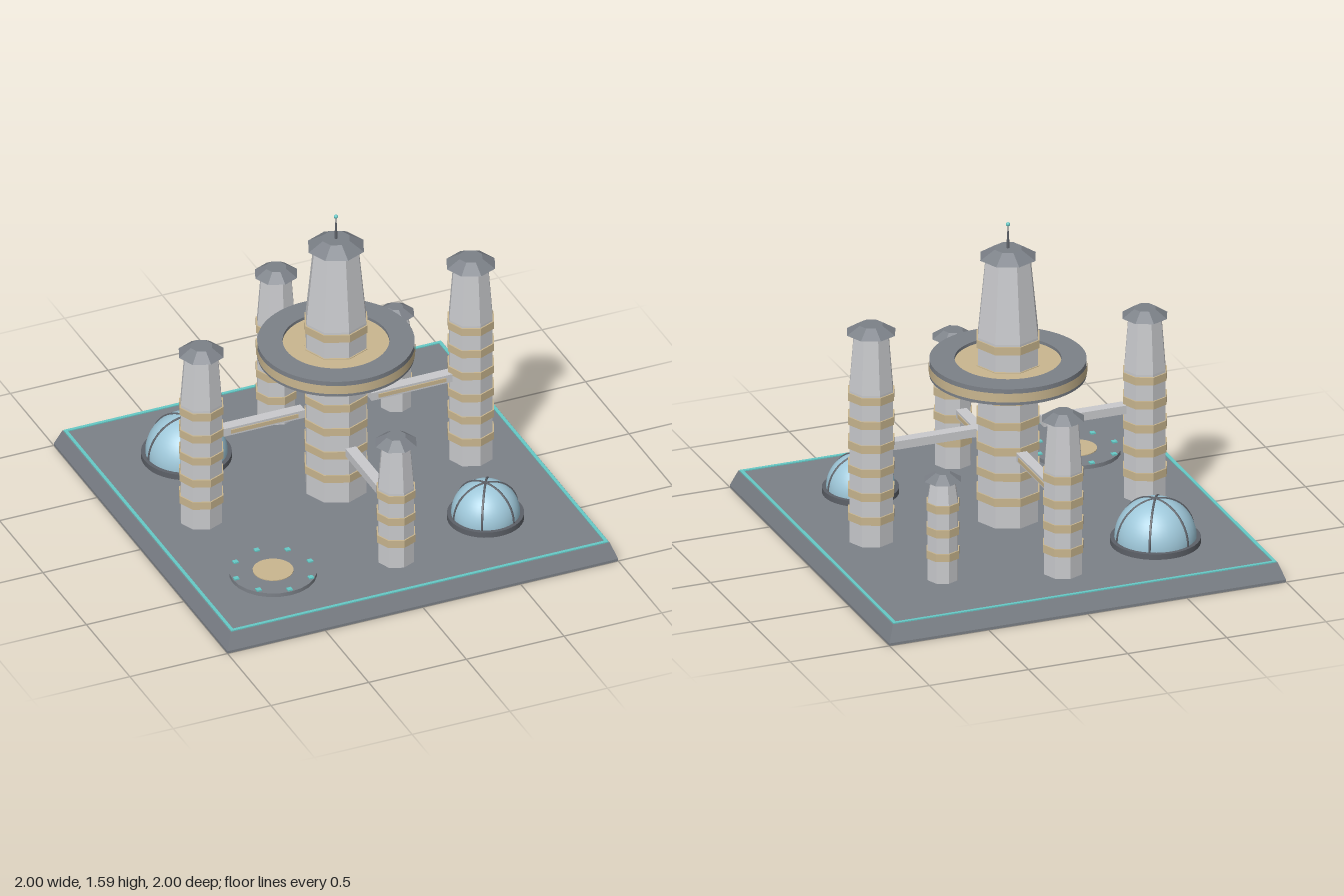
import * as THREE from 'three';

const paint = (name, color, opts = {}) => new THREE.MeshStandardMaterial({ name, color, ...opts });

export function createModel() {
  const city = new THREE.Group();
  city.name = 'domedCity';

  const stone = paint('slateGrey', 0x7c8188);
  const trim = paint('darkGrey', 0x5d6168);
  const wall = paint('paleGrey', 0xc9cacd);
  const tan = paint('sandTan', 0xc9b68f);
  const glass = paint('domeBlue', 0x9fc8da);
  const glow = paint('teal', 0x66c9c6);

  const add = (parent, name, geo, mat, x = 0, y = 0, z = 0) => {
    const mesh = new THREE.Mesh(geo, mat);
    mesh.name = name;
    mesh.position.set(x, y, z);
    parent.add(mesh);
    return mesh;
  };
  // flat-sided prism or frustum standing between two heights
  const prism = (parent, name, mat, rBottom, rTop, y0, y1, sides = 8) => {
    let geo = new THREE.CylinderGeometry(rTop, rBottom, y1 - y0, sides);
    if (sides <= 8) {
      geo = geo.toNonIndexed();
      geo.computeVertexNormals();
    }
    return add(parent, name, geo, mat, 0, (y0 + y1) / 2, 0);
  };
  const groupAt = (name, x, z) => {
    const g = new THREE.Group();
    g.name = name;
    g.position.set(x, 0, z);
    city.add(g);
    return g;
  };

  // base slab with sloping sides
  const GROUND = 0.092;
  const R2 = Math.SQRT2;
  add(city, 'baseFoot', new THREE.BoxGeometry(2, 0.012, 2), stone, 0, 0.006, 0);
  prism(city, 'baseSlab', stone, R2, 0.97 * R2, 0.012, GROUND, 4).rotation.y = Math.PI / 4;

  // glowing line around the edge of the slab
  for (const s of [-1, 1]) {
    add(city, 'edgeLight', new THREE.BoxGeometry(1.932, 0.006, 0.016), glow, 0, GROUND + 0.002, s * 0.958);
    add(city, 'edgeLight', new THREE.BoxGeometry(0.016, 0.006, 1.9), glow, s * 0.958, GROUND + 0.002, 0);
  }

  // octagonal tower: straight shaft, tapered crown, window bands, roof
  const tower = (name, x, z, r, rCrown, rRoof, rPeak, shoulder, eave, peak, bands, step) => {
    const g = groupAt(name, x, z);
    prism(g, 'shaft', wall, r, r, GROUND, shoulder);
    prism(g, 'crown', wall, r, rCrown, shoulder, eave);
    prism(g, 'roof', stone, rRoof, rPeak, eave, peak);
    for (let i = 0; i < bands; i++) {
      const y = 0.225 + i * step;
      prism(g, 'windowBand', tan, r + 0.007, r + 0.007, y - 0.02, y + 0.02);
    }
    return g;
  };
  const main = tower('mainTower', 0, 0, 0.152, 0.112, 0.14, 0.068, 1.03, 1.42, 1.465, 7, 0.129);
  tower('rightTower', 0.69, 0, 0.11, 0.087, 0.122, 0.058, 0.865, 1.147, 1.187, 6, 0.122);
  tower('leftTower', -0.69, 0, 0.104, 0.083, 0.113, 0.054, 0.745, 1.007, 1.047, 5, 0.122);
  tower('frontTower', 0, 0.69, 0.09, 0.07, 0.103, 0.048, 0.5, 0.733, 0.77, 3, 0.122);
  tower('backTower', 0, -0.69, 0.095, 0.076, 0.106, 0.05, 0.62, 0.872, 0.91, 4, 0.122);
  tower('smallTower', 0.55, -0.55, 0.076, 0.06, 0.092, 0.036, 0.49, 0.596, 0.632, 3, 0.122);

  // antenna
  prism(main, 'antennaFoot', trim, 0.009, 0.006, 1.46, 1.51, 8);
  prism(main, 'antennaMast', trim, 0.005, 0.003, 1.5, 1.58, 8);
  add(main, 'antennaLamp', new THREE.SphereGeometry(0.01, 10, 8), glow, 0, 1.584, 0);

  // ring deck around the main tower
  const deck = groupAt('ringDeck', 0, 0);
  const ring = new THREE.Shape().absarc(0, 0, 0.368, 0, Math.PI * 2);
  ring.holes.push(new THREE.Path().absarc(0, 0, 0.25, 0, Math.PI * 2, true));
  const ringGeo = new THREE.ExtrudeGeometry(ring, { depth: 0.082, bevelEnabled: false, curveSegments: 40 });
  ringGeo.rotateX(-Math.PI / 2);
  add(deck, 'deckRing', ringGeo, stone, 0, 0.82, 0);
  prism(deck, 'deckFloor', tan, 0.252, 0.252, 0.84, 0.887, 48);
  add(deck, 'rimWindow', new THREE.CylinderGeometry(0.371, 0.371, 0.045, 64, 1, true), tan, 0, 0.858, 0);

  // sky bridges, built along x and turned into place
  const bridge = (name, y, angle, side) => {
    const g = groupAt(name, 0, 0);
    g.rotation.y = angle;
    add(g, 'span', new THREE.BoxGeometry(0.415, 0.042, 0.054), wall, 0.378, y, 0);
    add(g, 'bridgeWindow', new THREE.BoxGeometry(0.345, 0.02, 0.008), tan, 0.378, y, side * 0.028);
  };
  bridge('rightBridge', 0.558, 0, 1);
  bridge('leftBridge', 0.553, Math.PI, -1);
  bridge('frontBridge', 0.385, -Math.PI / 2, -1);
  bridge('backBridge', 0.47, Math.PI / 2, 1);

  // glass domes with a collar and six ribs
  const dome = (name, x, z, r, collar) => {
    const g = groupAt(name, x, z);
    const y = 0.12;
    prism(g, 'collar', trim, collar, collar, GROUND, y, 40);
    add(g, 'glassDome', new THREE.SphereGeometry(r, 36, 14, 0, Math.PI * 2, 0, Math.PI / 2), glass, 0, y, 0);
    for (let i = 0; i < 3; i++) {
      const rib = add(g, 'rib', new THREE.TorusGeometry(r, 0.006, 6, 32, Math.PI), trim, 0, y, 0);
      rib.rotation.y = i * Math.PI / 3;
    }
  };
  dome('largeDome', -0.53, -0.53, 0.193, 0.213);
  dome('smallDome', 0.53, 0.53, 0.162, 0.181);

  // landing pad with marker lights
  const pad = groupAt('landingPad', -0.58, 0.58);
  prism(pad, 'padDisc', stone, 0.206, 0.206, GROUND, 0.112, 24);
  prism(pad, 'padCentre', tan, 0.096, 0.096, 0.11, 0.116, 24);
  for (let i = 0; i < 8; i++) {
    const a = i * Math.PI / 4;
    add(pad, 'padLight', new THREE.BoxGeometry(0.024, 0.012, 0.024), glow, Math.cos(a) * 0.189, 0.113, Math.sin(a) * 0.189);
  }
  return city;
}
